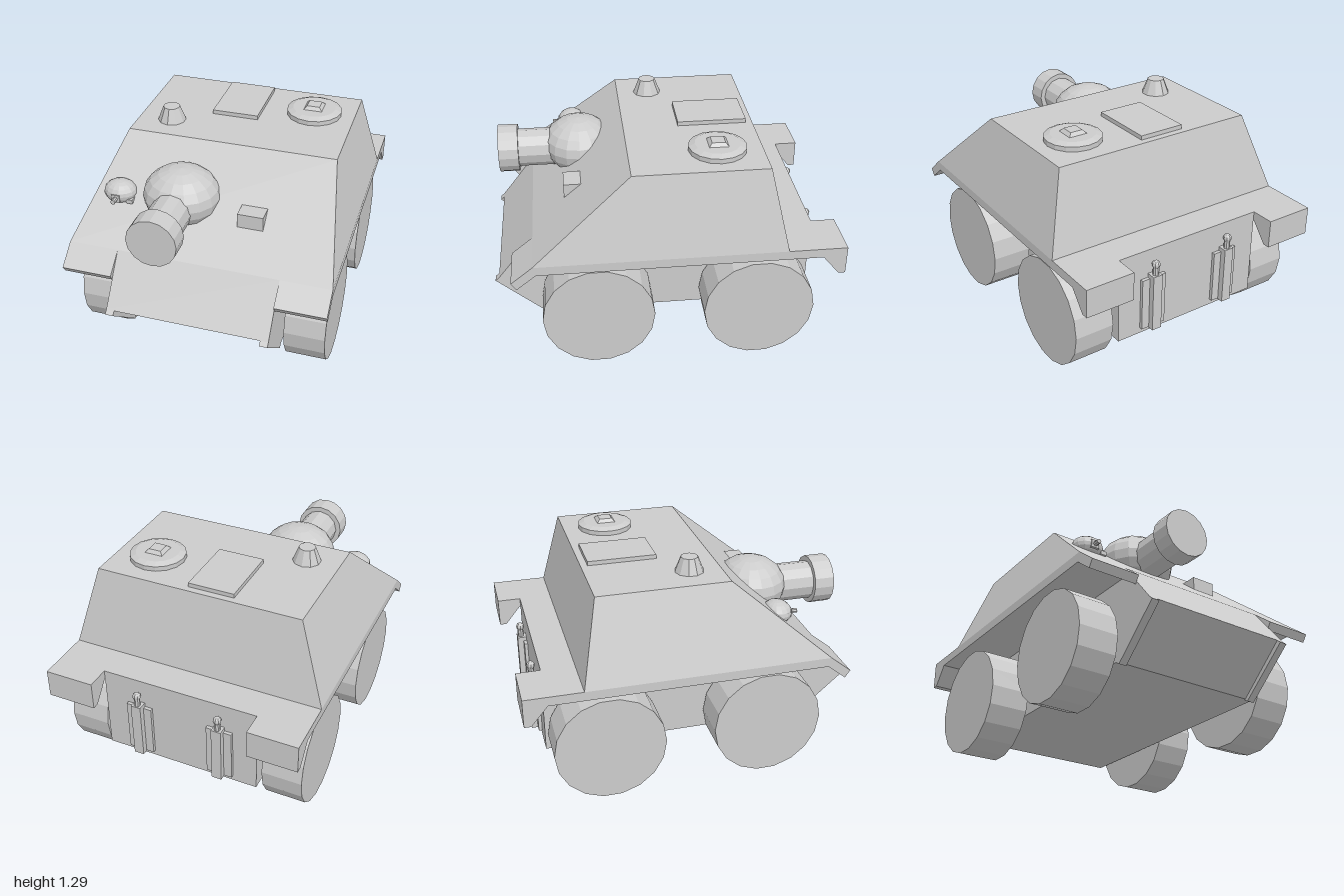
import * as THREE from 'three';

const material = new THREE.MeshStandardMaterial({ color: 0xcccccc, flatShading: true });

export function createModel() {
  const model = new THREE.Group();
  model.name = 'armouredCar';

  const add = (name, geometry, x = 0, y = 0, z = 0, parent = model) => {
    const mesh = new THREE.Mesh(geometry, material);
    mesh.name = name;
    mesh.position.set(x, y, z);
    parent.add(mesh);
    return mesh;
  };

  // Box given by its limits on each axis
  const block = (name, x0, x1, y0, y1, z0, z1, parent) =>
    add(name, new THREE.BoxGeometry(x1 - x0, y1 - y0, z1 - z0),
      (x0 + x1) / 2, (y0 + y1) / 2, (z0 + z1) / 2, parent);

  // Side profile of [z, y] points, extruded from x0 to x1
  const slab = (name, points, x0, x1) => {
    const shape = new THREE.Shape(points.map(([z, y]) => new THREE.Vector2(z, y)));
    const geometry = new THREE.ExtrudeGeometry(shape, { depth: x1 - x0, bevelEnabled: false });
    geometry.rotateY(-Math.PI / 2);
    return add(name, geometry, x1);
  };

  // Box with different bottom and top rectangles, each [x0, x1, z0, z1]
  const frustum = (name, bottom, y0, top, y1) => {
    const geometry = new THREE.BoxGeometry(1, 1, 1);
    const p = geometry.attributes.position;
    for (let i = 0; i < p.count; i++) {
      const up = p.getY(i) > 0;
      const r = up ? top : bottom;
      p.setXYZ(i, p.getX(i) > 0 ? r[1] : r[0], up ? y1 : y0, p.getZ(i) > 0 ? r[3] : r[2]);
    }
    geometry.computeVertexNormals();
    return add(name, geometry);
  };

  // Faceted ellipsoid
  const ball = (name, rx, ry, rz, x, y, z, w = 16, h = 10) =>
    add(name, new THREE.SphereGeometry(1, w, h).scale(rx, ry, rz), x, y, z);

  // Cylinder along z, from z0 to z1
  const tube = (name, r, z0, z1, x, y, sides) =>
    add(name, new THREE.CylinderGeometry(r, r, z1 - z0, sides).rotateX(Math.PI / 2), x, y, (z0 + z1) / 2);

  // Hull and sloped casemate
  slab('hull', [[0.766, 0.735], [0.978, 0.467], [0.69, 0.205], [-0.86, 0.205], [-0.86, 0.735]], -0.475, 0.475);
  frustum('casemate', [-0.77, 0.77, -0.665, 0.766], 0.735, [-0.6, 0.65, -0.56, 0.207], 1.207);

  // Fenders, nose flanges and wheels on both sides
  const fender = [[0.766, 0.735], [0.89, 0.635], [0.86, 0.592], [0.75, 0.68],
    [-0.865, 0.68], [-0.96, 0.565], [-1, 0.565], [-1, 0.735]];
  const flange = [[0.978, 0.467], [1, 0.447], [0.705, 0.187], [0.68, 0.205]];
  for (const [side, s] of [['left', 1], ['right', -1]]) {
    const span = (a, b) => (s > 0 ? [a, b] : [-b, -a]);
    slab(side + 'Fender', fender, ...span(0.475, 0.77));
    slab(side + 'NoseFlange', flange, ...span(0.428, 0.475));
    for (const [end, y, z] of [['Front', 0.335, 0.41], ['Rear', 0.32, -0.523]]) {
      const wheel = new THREE.CylinderGeometry(0.323, 0.323, 0.24, 18).rotateZ(Math.PI / 2);
      add(side + end + 'Wheel', wheel, s * 0.62, y, z);
    }

    // Tool rack on the rear plate
    const rack = new THREE.Group();
    rack.name = side + 'ToolRack';
    rack.position.x = s * 0.252;
    model.add(rack);
    block('rackBracket', -0.078, 0.078, 0.24, 0.56, -0.88, -0.86, rack);
    block('rackBar', -0.03, 0.03, 0.235, 0.585, -0.915, -0.86, rack);
    add('toolHandle', new THREE.CylinderGeometry(0.018, 0.018, 0.12, 8), 0, 0.6, -0.892, rack);
    add('toolKnob', new THREE.SphereGeometry(0.025, 8, 6), 0, 0.65, -0.892, rack);
  }

  // Main gun
  ball('gunMantlet', 0.225, 0.17, 0.215, -0.185, 0.985, 0.465);
  tube('gunBarrel', 0.115, 0.5, 0.84, -0.188, 0.967, 12);
  tube('gunMuzzle', 0.145, 0.835, 0.955, -0.188, 0.967, 16);

  // Small gun with its sight
  ball('smallGunMount', 0.097, 0.068, 0.085, -0.55, 0.963, 0.5, 14, 10);
  block('smallGunBarrel', -0.575, -0.525, 0.93, 0.978, 0.54, 0.585);
  tube('smallGunMuzzle', 0.014, 0.56, 0.623, -0.55, 0.953, 8);
  block('smallGunSight', -0.495, -0.457, 0.92, 0.945, 0.5, 0.56);

  // Driver's visor wedge on the front slope
  slab('visor', [[0.46, 0.983], [0.573, 0.983], [0.573, 0.897]], 0.175, 0.325);

  // Roof fittings
  add('ventilator', new THREE.CylinderGeometry(0.05, 0.085, 0.09, 10), -0.4, 1.25, 0.02);
  block('loadingHatch', -0.185, 0.095, 1.2, 1.232, -0.52, -0.115);
  const lid = [[0, 0], [0.166, 0], [0.166, 0.03], [0.13, 0.045], [0, 0.045]]
    .map(([r, y]) => new THREE.Vector2(r, y));
  add('roundHatch', new THREE.LatheGeometry(lid, 16), 0.403, 1.205, -0.3);
  frustum('hatchPeriscope', [0.343, 0.463, -0.36, -0.24], 1.245, [0.365, 0.441, -0.338, -0.262], 1.27);

  return model;
}
